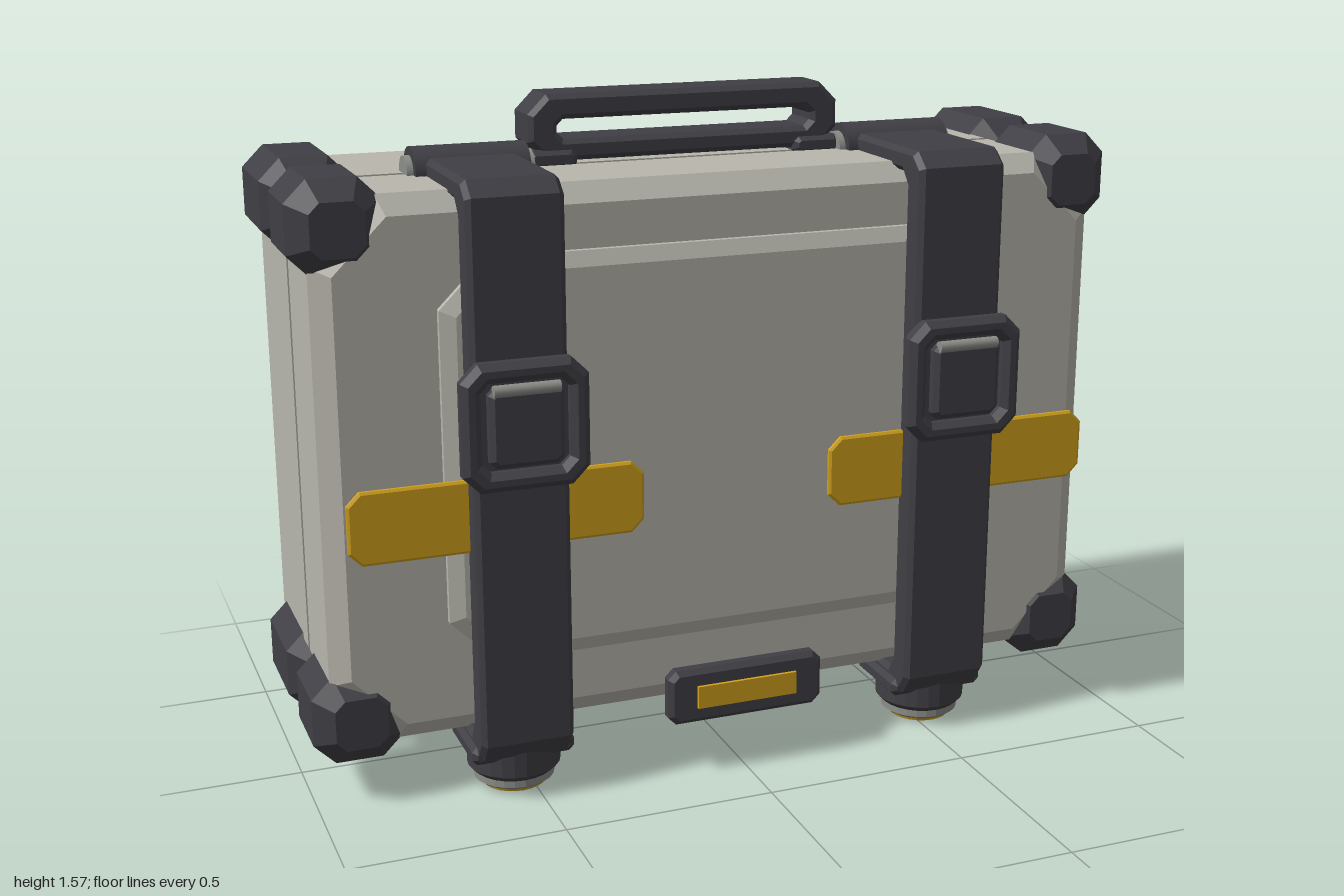
import * as THREE from 'three';

const mat = (name, color) => {
  const m = new THREE.MeshStandardMaterial({ color });
  m.name = name;
  return m;
};

// Rectangle with cut corners, centred on (0, y)
function octagon(w, h, c, y = 0, Type = THREE.Shape) {
  const a = w / 2, b = h / 2;
  return new Type([
    [a - c, -b], [a, c - b], [a, b - c], [a - c, b],
    [c - a, b], [-a, b - c], [-a, c - b], [c - a, -b],
  ].map(([px, py]) => new THREE.Vector2(px, py + y)));
}

// Extrude centred on z, bevelled inward so the outline keeps its size
function slab(shape, d, b, bz = b) {
  const g = new THREE.ExtrudeGeometry(shape, {
    depth: d - 2 * bz, bevelEnabled: b > 0, bevelSize: b, bevelThickness: bz,
    bevelOffset: -b, bevelSegments: 1,
  });
  return g.translate(0, 0, -(d - 2 * bz) / 2);
}

const chamferBox = (w, h, d, c, b, bz) => slab(octagon(w, h, c), d, b, bz);

export function createModel() {
  const model = new THREE.Group();
  const shell = mat('warm grey shell', 0xb8b6ad);
  const dark = mat('charcoal rubber', 0x403f45);
  const black = mat('black seal', 0x2a2a2c);
  const yellow = mat('amber trim', 0xd2a21c);
  const metal = mat('grey metal', 0x8c8e88);

  function add(name, geometry, material, x = 0, y = 0, z = 0, parent = model) {
    const m = new THREE.Mesh(geometry, material);
    m.name = name;
    m.position.set(x, y, z);
    parent.add(m);
    return m;
  }

  // Two half shells: a bevelled face and a square rim meeting at the seam
  const W = 1.915, H = 1.265, C = 0.15, Y = 0.775;
  add('frontShellFace', chamferBox(W, H, 0.2, C, 0.045, 0.035), shell, 0, Y, 0.125);
  add('frontShellRim', chamferBox(W, H, 0.15, C, 0, 0), shell, 0, Y, 0.04);
  add('backShellFace', chamferBox(W, H, 0.25, C, 0.045, 0.025), shell, 0, Y, -0.278);
  add('backShellRim', chamferBox(W, H, 0.2, C, 0, 0), shell, 0, Y, -0.155);
  add('seal', chamferBox(W - 0.02, H - 0.02, 0.04, C, 0, 0), black, 0, Y, -0.045);
  add('frontPanel', chamferBox(1.375, 0.945, 0.045, 0.11, 0.035, 0.015), shell, 0, 0.79, 0.238);

  // Corner guards
  const frontGuard = chamferBox(0.21, 0.212, 0.265, 0.05, 0.045);
  const backGuard = chamferBox(0.21, 0.212, 0.32, 0.05, 0.05);
  for (const x of [-0.895, 0.895]) {
    for (const y of [0.207, 1.341]) {
      add('frontCornerGuard', frontGuard, dark, x, y, 0.1);
      add('backCornerGuard', backGuard, dark, x, y, -0.23);
    }
  }

  // Carrying handle
  const loop = octagon(0.78, 0.155, 0.045, 1.492);
  loop.holes.push(octagon(0.64, 0.046, 0.015, 1.488, THREE.Path));
  add('handle', slab(loop, 0.125, 0.012), dark, 0, 0, -0.103);
  for (const x of [-0.335, 0.335])
    add('handleBracket', chamferBox(0.12, 0.045, 0.155, 0.012, 0.012), dark, x, 1.42, -0.108);

  // Name plate
  add('plateFrame', chamferBox(0.39, 0.135, 0.045, 0.02, 0.012), dark, 0, 0.198, 0.325);
  add('plateInset', new THREE.BoxGeometry(0.25, 0.055, 0.009), yellow, 0, 0.198, 0.351);

  // Strap outline in side view (z, y), hooked over the top and under the base
  const strapShape = new THREE.Shape([
    [-0.02, 1.445], [0.3, 1.445], [0.34, 1.41], [0.34, 0.15], [0.31, 0.105], [-0.08, 0.105],
    [-0.08, 0.15], [0.24, 0.15], [0.265, 0.19], [0.265, 1.36], [0.24, 1.39], [-0.02, 1.39],
  ].map(p => new THREE.Vector2(...p)));
  const strap = slab(strapShape, 0.22, 0.012).rotateY(-Math.PI / 2);

  // Buckle frame with a square opening
  const frame = octagon(0.29, 0.29, 0.04);
  frame.holes.push(octagon(0.2, 0.2, 0.02, 0, THREE.Path));

  const lathe = pts => new THREE.LatheGeometry(pts.map(p => new THREE.Vector2(...p)), 24).toNonIndexed();
  const flat = g => { g.computeVertexNormals(); return g; };
  const footBody = flat(lathe([[0, 0.035], [0.095, 0.035], [0.11, 0.05], [0.11, 0.12], [0, 0.12]]));
  const footRing = flat(lathe([[0.05, 0.01], [0.085, 0.01], [0.095, 0.018], [0.095, 0.036], [0.05, 0.036]]));
  const footTrim = flat(lathe([[0.052, 0.012], [0.052, 0], [0.075, 0], [0.08, 0.012]]));
  const footCore = new THREE.CylinderGeometry(0.053, 0.053, 0.03, 24);

  for (const side of [-1, 1]) {
    const g = new THREE.Group();
    g.name = side > 0 ? 'leftStrapSet' : 'rightStrapSet';
    g.position.x = side * 0.535;
    model.add(g);
    const part = (name, geo, material, y = 0, z = 0) => add(name, geo, material, 0, y, z, g);

    part('strap', strap, dark);
    const band = part('amberBand', chamferBox(0.685, 0.17, 0.015, 0.03, 0.006, 0.004), yellow, 0.69, 0.281);
    band.position.x = side * 0.04;

    // Buckle
    part('buckleBase', chamferBox(0.27, 0.27, 0.025, 0.03, 0), dark, 0.915, 0.35);
    part('buckleFrame', slab(frame, 0.05, 0.015), dark, 0.915, 0.365);
    part('buckleButton', chamferBox(0.17, 0.18, 0.04, 0.015, 0.012), dark, 0.915, 0.374);
    part('bucklePin', new THREE.CylinderGeometry(0.014, 0.014, 0.15, 12).rotateZ(Math.PI / 2), metal, 1.0, 0.388);

    // Hinge on the top seam
    part('hingeBarrel', new THREE.CylinderGeometry(0.06, 0.06, 0.27, 20).rotateZ(Math.PI / 2), dark, 1.408, -0.05);
    part('hingePin', new THREE.CylinderGeometry(0.04, 0.04, 0.3, 20).rotateZ(Math.PI / 2), metal, 1.408, -0.05);

    // Foot and rear skid
    part('footCollar', chamferBox(0.245, 0.045, 0.2, 0.012, 0.012), dark, 0.11, 0.2);
    part('foot', footBody, dark, 0, 0.205);
    part('footRing', footRing, metal, 0, 0.205);
    part('footTrim', footTrim, yellow, 0, 0.205);
    part('footCore', footCore, dark, 0.026, 0.205);
    part('rearSkid', chamferBox(0.22, 0.18, 0.05, 0.025, 0.02).rotateX(Math.PI / 2), dark, 0.1, -0.145);
    part('skidMount', new THREE.BoxGeometry(0.13, 0.05, 0.12), dark, 0.13, -0.13);
  }
  return model;
}
